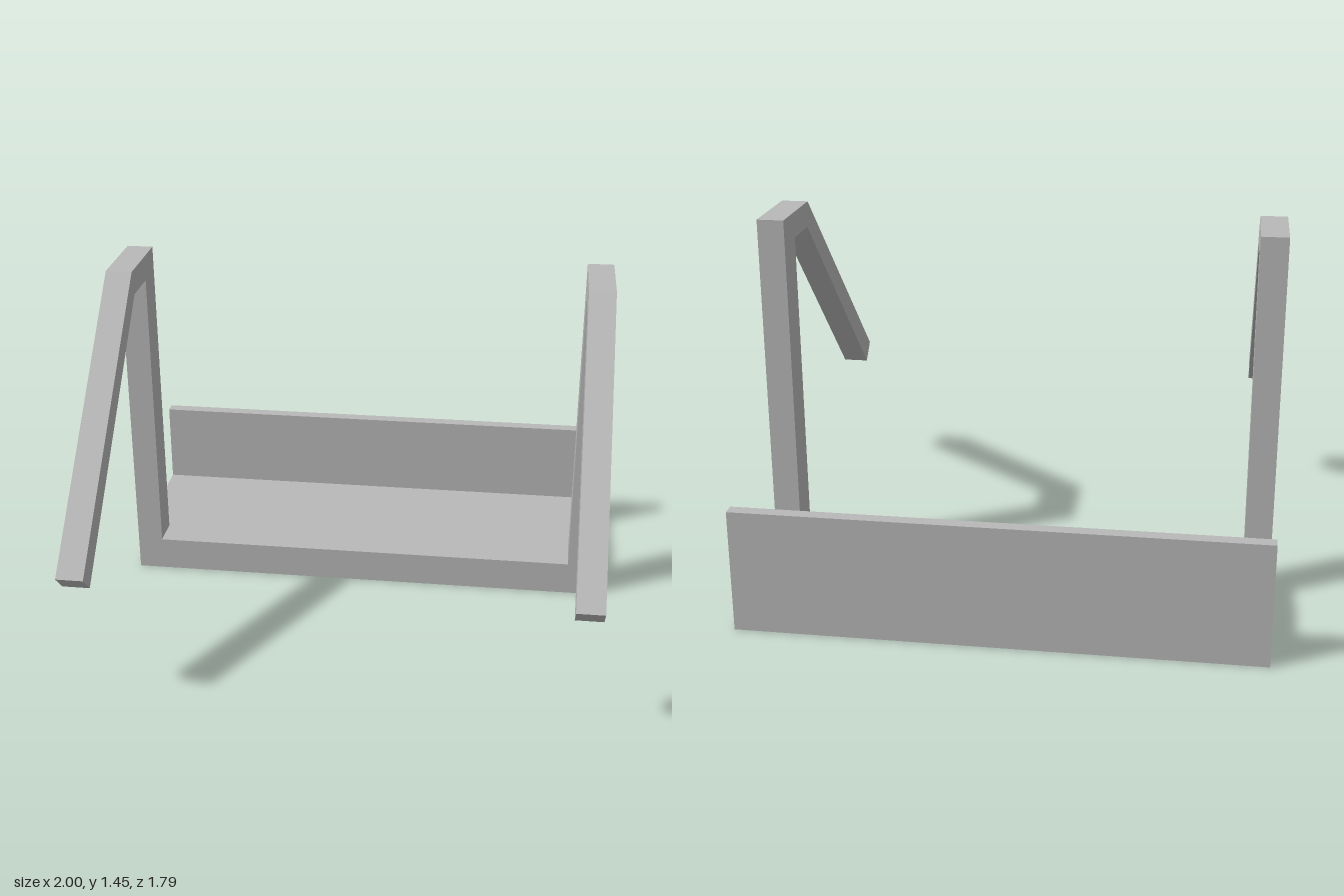
import * as THREE from 'three';

// Extrudes a side profile of [z, y] points across x, from x0 to x1.
function extrudeAcross(points, x0, x1) {
  const shape = new THREE.Shape(points.map(([z, y]) => new THREE.Vector2(z, y)));
  const geometry = new THREE.ExtrudeGeometry(shape, { depth: x1 - x0, bevelEnabled: false });
  return geometry.rotateY(-Math.PI / 2).translate(x1, 0, 0);
}

export function createModel() {
  const model = new THREE.Group();
  model.name = 'trayWithArms';
  const grey = new THREE.MeshStandardMaterial({ color: 0xb8b8b8 });
  grey.name = 'grey';

  const add = (name, geometry) => {
    const mesh = new THREE.Mesh(geometry, grey);
    mesh.name = name;
    model.add(mesh);
  };

  // Flat base with a thin upright lip along the back
  add('tray', extrudeAcross([
    [-0.895, 0], [-0.205, 0], [-0.205, 0.14],
    [-0.845, 0.14], [-0.845, 0.485], [-0.895, 0.485],
  ], -1, 1));

  // Upright post, short top bar and sloping arm in one bent piece
  const armProfile = [
    [-0.34, 0.14], [-0.205, 0.14], [-0.205, 1.35], [-0.03, 1.35],
    [0.825, 0.495], [0.895, 0.565], [-0.01, 1.45], [-0.34, 1.45],
  ];
  add('leftArm', extrudeAcross(armProfile, 0.895, 1));
  add('rightArm', extrudeAcross(armProfile, -1, -0.895));

  return model;
}
